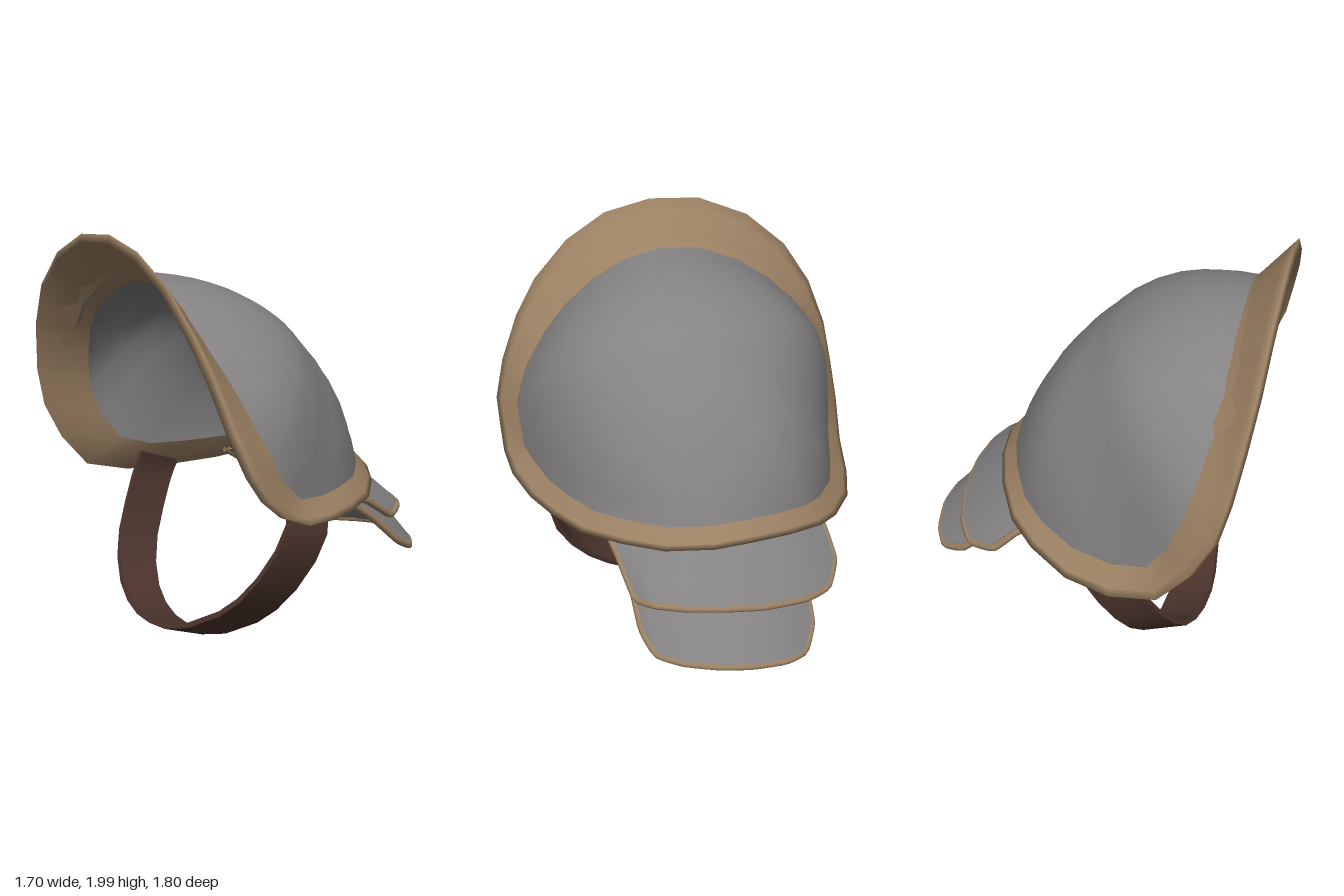
import * as THREE from 'three';
import { toCreasedNormals } from 'three/addons/utils/BufferGeometryUtils.js';

const V = (x, y, z) => new THREE.Vector3(x, y, z);
const points = (list) => list.map((p) => V(...p));

// Skin between rows of points; closed joins each row's last column to its first.
function loft(rows, { closed = false, flip = false, pole = null } = {}) {
  const m = rows[0].length, pts = rows.flat(), idx = [];
  const tri = (a, b, c) => idx.push(a, flip ? c : b, flip ? b : c);
  const cols = closed ? m : m - 1;
  for (let i = 0; i < rows.length - 1; i++) {
    for (let j = 0; j < cols; j++) {
      const k = (j + 1) % m, a = i * m + j, b = i * m + k;
      tri(a, a + m, b);
      tri(b, a + m, b + m);
    }
  }
  if (pole) {
    const last = (rows.length - 1) * m;
    for (let j = 0; j < cols; j++) tri(last + j, pts.length, last + ((j + 1) % m));
    pts.push(pole);
  }
  const g = new THREE.BufferGeometry().setFromPoints(pts);
  g.setIndex(idx);
  g.computeVertexNormals();
  return g;
}

const toward = (p, target, d) => p.clone().add(target.clone().sub(p).setLength(d));

export function createModel() {
  const group = new THREE.Group();
  const mat = (name, color) => {
    const m = new THREE.MeshStandardMaterial({ color, side: THREE.DoubleSide });
    m.name = name;
    return m;
  };
  const steel = mat('grey steel', 0x848282);
  const tan = mat('tan trim', 0x9c8163);
  const leather = mat('brown leather', 0x4e362e);
  const add = (name, geometry, material, parent = group) => {
    const mesh = new THREE.Mesh(geometry, material);
    mesh.name = name;
    parent.add(mesh);
  };

  // Outer edge of the shoulder plate: outer end, front, raised collar, back
  const edge = points([
    [0.51, 0.80, 0.05], [0.46, 0.795, 0.28], [0.34, 0.785, 0.46], [0.18, 0.77, 0.63], [0, 0.77, 0.74],
    [-0.17, 0.775, 0.82], [-0.36, 0.80, 0.88], [-0.49, 0.86, 0.90], [-0.59, 0.95, 0.90], [-0.67, 1.07, 0.90],
    [-0.73, 1.25, 0.85], [-0.77, 1.47, 0.76], [-0.80, 1.65, 0.65], [-0.82, 1.83, 0.48], [-0.835, 1.95, 0.28],
    [-0.835, 2.0, 0.05], [-0.835, 1.98, -0.20], [-0.825, 1.87, -0.45], [-0.81, 1.69, -0.65], [-0.78, 1.48, -0.78],
    [-0.74, 1.25, -0.86], [-0.69, 1.05, -0.89], [-0.59, 0.86, -0.90], [-0.45, 0.69, -0.885], [-0.22, 0.63, -0.85],
    [0, 0.635, -0.78], [0.20, 0.67, -0.65], [0.33, 0.72, -0.53], [0.43, 0.765, -0.34], [0.49, 0.795, -0.15],
  ]);

  // Where trim meets steel; the band widens towards the collar and its corners
  const middle = V(-0.1, 1.25, 0);
  const seam = edge.map((p) => {
    const s = THREE.MathUtils.smoothstep(p.y, 1.0, 2.0);
    const corner = Math.max(0, 1 - Math.abs(p.y - 1.1) / 0.6) * (p.x < -0.4 ? 1 : 0);
    const q = p.clone().lerp(middle, 0.12 + 0.11 * s);
    q.x += 0.085 * corner;
    q.y += 0.03 - 0.05 * s;
    q.z += (p.z > 0 ? 0.025 : -0.04) * corner;
    return q;
  });

  // Domed shell: every spoke curves from the seam to the crown, fuller front and back
  const crown = V(-0.02, 1.58, 0), normal = V(0.65, 0.76, 0).normalize();
  const rings = [];
  for (let i = 0; i < 8; i++) {
    rings.push(seam.map((p) => {
      const reach = p.clone().sub(crown).projectOnPlane(normal);
      const sideways = Math.abs(reach.z) / reach.length();
      const control = reach.multiplyScalar(0.51 + 0.3 * sideways ** 1.5).add(crown);
      return new THREE.QuadraticBezierCurve3(p, control, crown).getPoint(i / 8);
    }));
  }
  const core = V(-0.6, 0.8, 0), thick = 0.04;
  const lining = rings.map((r) => r.map((p) => toward(p, core, thick)));
  lining[0] = lining[0].map((p, i) => p.clone().lerp(lining[1][i], edge[i].y > 1.2 ? 0.6 : 0.4));
  add('shellOuter', loft(rings, { closed: true, pole: crown }), steel);
  add('shellLining', loft(lining, { closed: true, flip: true, pole: toward(crown, core, thick) }), steel);

  // Rolled trim wrapped around the edge
  const collarCore = V(-1.2, 0.9, 0);
  const under = edge.map((p) => toward(p, collarCore, 0.04));
  const band = edge.map((p, i) => p.clone().lerp(seam[i], 0.25));
  add('shellTrim', loft([lining[0], under, edge, band, seam], { closed: true }), tan);

  // Overlapping arm plates, each with a trimmed free edge
  function armPlate(name, upper, lower) {
    const plate = new THREE.Group();
    plate.name = name;
    group.add(plate);
    const mid = upper.map((p, i) => p.clone().lerp(lower[i], 0.5).add(V(0.008, 0.012, 0)));
    const rows = [upper, mid, lower];
    const below = rows.map((r) => r.map((p) => p.clone().add(V(-0.015, -0.022, 0))));
    add(name + 'Top', loft(rows), steel, plate);
    add(name + 'Underside', loft(below, { flip: true }), steel, plate);
    const n = upper.length - 1;
    const path = [upper[0], mid[0], ...lower, mid[n], upper[n]].map((p) => p.clone().add(V(-0.01, -0.013, 0)));
    const curve = new THREE.CatmullRomCurve3(path, false, 'catmullrom', 0.2);
    add(name + 'Trim', new THREE.TubeGeometry(curve, 60, 0.018, 8), tan, plate);
  }
  armPlate('upperArmPlate',
    points([[0.12, 0.79, 0.51], [0.22, 0.81, 0.42], [0.31, 0.85, 0.25], [0.36, 0.87, 0.05],
      [0.36, 0.86, -0.15], [0.31, 0.82, -0.36], [0.25, 0.78, -0.46], [0.19, 0.755, -0.54]]),
    points([[0.50, 0.585, 0.43], [0.60, 0.605, 0.36], [0.66, 0.605, 0.22], [0.69, 0.595, 0.05],
      [0.69, 0.57, -0.15], [0.64, 0.54, -0.37], [0.56, 0.525, -0.50], [0.42, 0.575, -0.575]]));
  armPlate('lowerArmPlate',
    points([[0.17, 0.74, 0.44], [0.30, 0.71, 0.39], [0.45, 0.69, 0.25], [0.53, 0.68, 0.10],
      [0.53, 0.67, -0.05], [0.49, 0.66, -0.22], [0.40, 0.65, -0.34], [0.27, 0.68, -0.41]]),
    points([[0.56, 0.44, 0.415], [0.68, 0.375, 0.37], [0.765, 0.37, 0.26], [0.83, 0.37, 0.10],
      [0.85, 0.36, -0.05], [0.825, 0.335, -0.22], [0.765, 0.325, -0.33], [0.64, 0.39, -0.40]]));

  // Leather strap hanging in a loop below the shell, both ends tucked under the rim
  const strapPath = new THREE.CatmullRomCurve3(points([
    [-0.22, 0.84, 0.64], [-0.235, 0.77, 0.71], [-0.29, 0.59, 0.685], [-0.36, 0.38, 0.56], [-0.41, 0.24, 0.41],
    [-0.46, 0.085, 0.10], [-0.47, 0.058, -0.10], [-0.45, 0.07, -0.29], [-0.41, 0.14, -0.46],
    [-0.34, 0.29, -0.60], [-0.24, 0.48, -0.68], [-0.16, 0.65, -0.71], [-0.14, 0.72, -0.69],
  ]));
  const half = V(0.107, -0.04, 0), sections = [];
  for (let i = 0; i <= 18; i++) {
    const p = strapPath.getPoint(i / 18);
    const out = strapPath.getTangent(i / 18).cross(half).setLength(0.013);
    sections.push([[-1, 1], [1, 1], [1, -1], [-1, -1]].map(([w, o]) =>
      p.clone().addScaledVector(half, w).addScaledVector(out, o)));
  }
  add('strap', toCreasedNormals(loft(sections, { closed: true }), 0.8), leather);

  return group;
}
